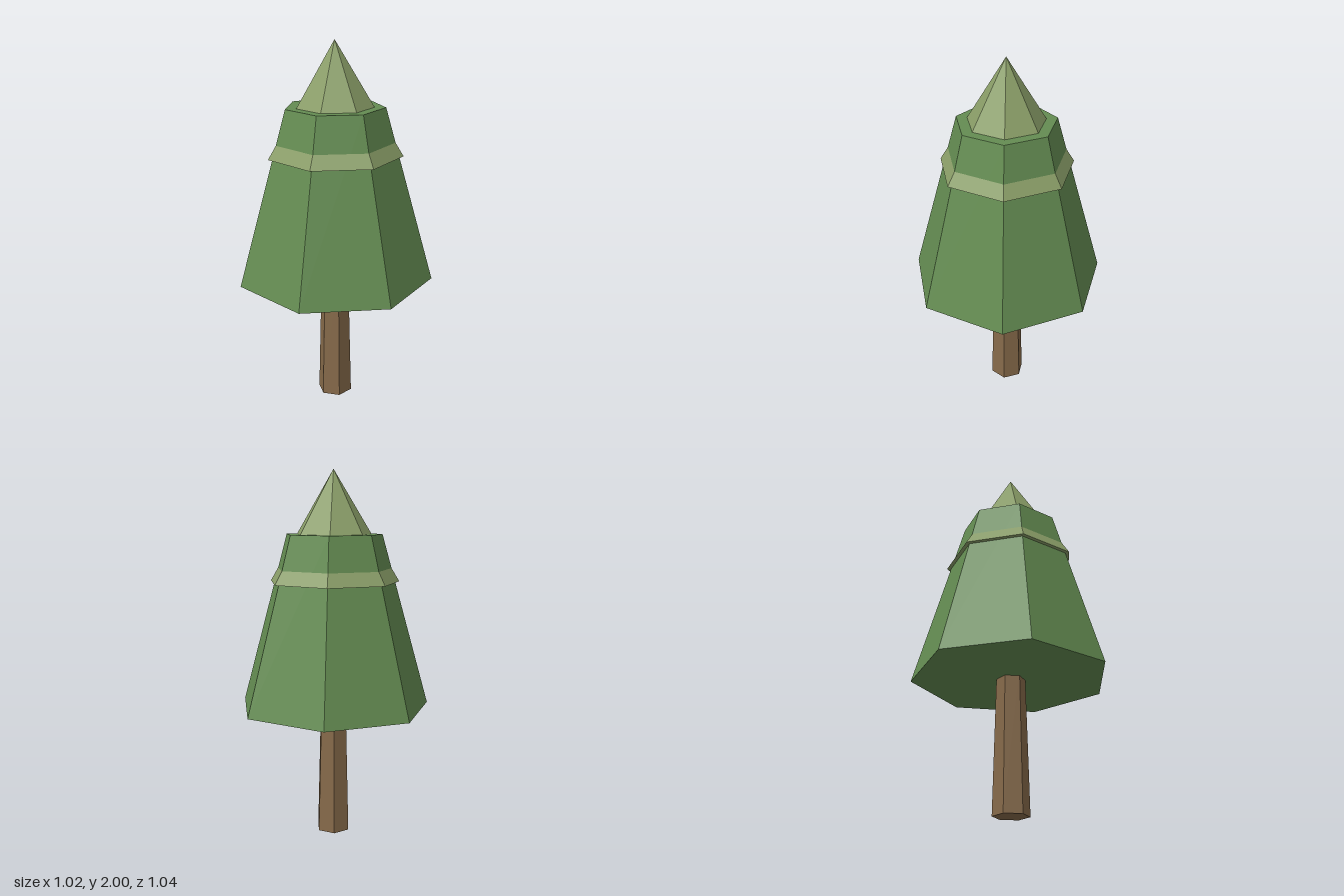
import * as THREE from 'three';

const AXIS_X = -0.027; // the odd-sided crown puts the axis slightly off centre

// Upright faceted frustum or cone with a corner pointing to +x
function tier(name, color, sides, bottomRadius, topRadius, y0, y1) {
  const geometry = new THREE.CylinderGeometry(topRadius, bottomRadius, y1 - y0, sides, 1, false, Math.PI / 2);
  const material = new THREE.MeshStandardMaterial({ color, flatShading: true });
  const mesh = new THREE.Mesh(geometry, material);
  mesh.name = name;
  mesh.position.set(AXIS_X, (y0 + y1) / 2, 0);
  return mesh;
}

export function createModel() {
  const tree = new THREE.Group();
  tree.name = 'tree';
  tree.add(
    // Hexagonal tapered trunk, ending just inside the crown
    tier('trunk', 0x866a4a, 6, 0.096, 0.076, 0, 0.76),
    // Seven-sided lower foliage with a flat top
    tier('lowerFoliage', 0x648c52, 7, 0.535, 0.267, 0.72, 1.66),
    // Pale cone whose rim pokes out through the lower foliage
    tier('topFoliage', 0x8a9e68, 7, 0.363, 0, 1.405, 2),
  );
  return tree;
}
